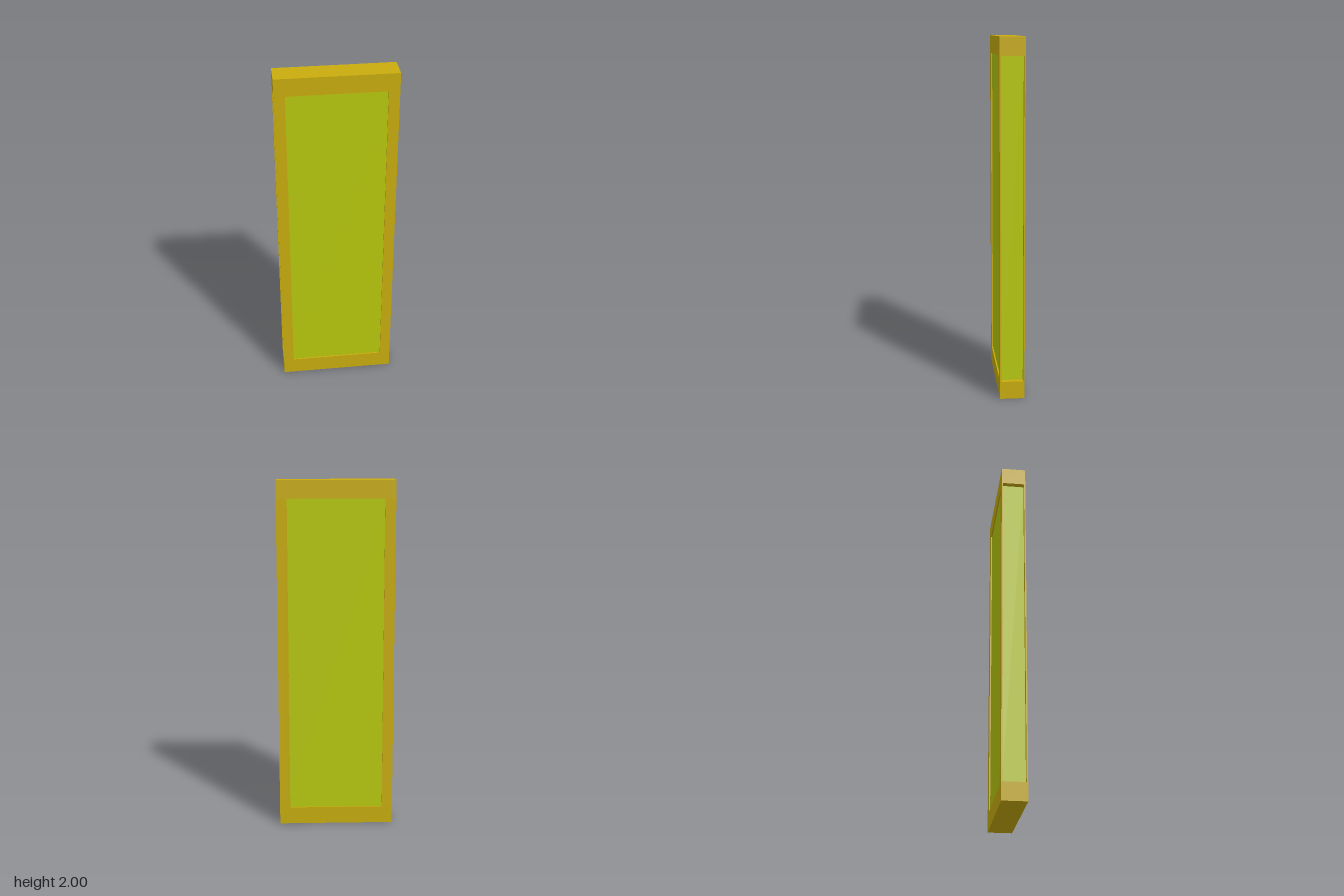
import * as THREE from 'three';

const WIDTH = 0.66, HEIGHT = 2, DEPTH = 0.138;
const RAIL = 0.1;      // height of the end rails
const STILE = 0.06;    // width of the side strips
const STRIP = 0.0075;  // thickness of the side strips
const INSET = 0.03;    // how far the panel sits in from the sides

export function createModel() {
  const model = new THREE.Group();
  model.name = 'framedPanel';
  const frameMat = new THREE.MeshStandardMaterial({ color: 0xc9ad0e });
  const panelMat = new THREE.MeshStandardMaterial({ color: 0xb8c90e });

  const box = (name, mat, w, h, d, x, y, z) => {
    const mesh = new THREE.Mesh(new THREE.BoxGeometry(w, h, d), mat);
    mesh.name = name;
    mesh.position.set(x, y, z);
    model.add(mesh);
  };

  // Solid rails across the bottom and top
  box('bottomRail', frameMat, WIDTH, RAIL, DEPTH, 0, RAIL / 2, 0);
  box('topRail', frameMat, WIDTH, RAIL, DEPTH, 0, HEIGHT - RAIL / 2, 0);

  // Thin upright strips at the four corners, leaving the sides open between them
  const inner = HEIGHT - 2 * RAIL;
  for (const [side, sx] of [['left', 1], ['right', -1]])
    for (const [face, sz] of [['Front', 1], ['Back', -1]])
      box(`${side}${face}Stile`, frameMat, STILE, inner, STRIP,
        sx * (WIDTH - STILE) / 2, HEIGHT / 2, sz * (DEPTH - STRIP) / 2);

  // Core panel held between the strips
  box('panel', panelMat, WIDTH - 2 * INSET, inner, DEPTH - 2 * STRIP, 0, HEIGHT / 2, 0);

  return model;
}
